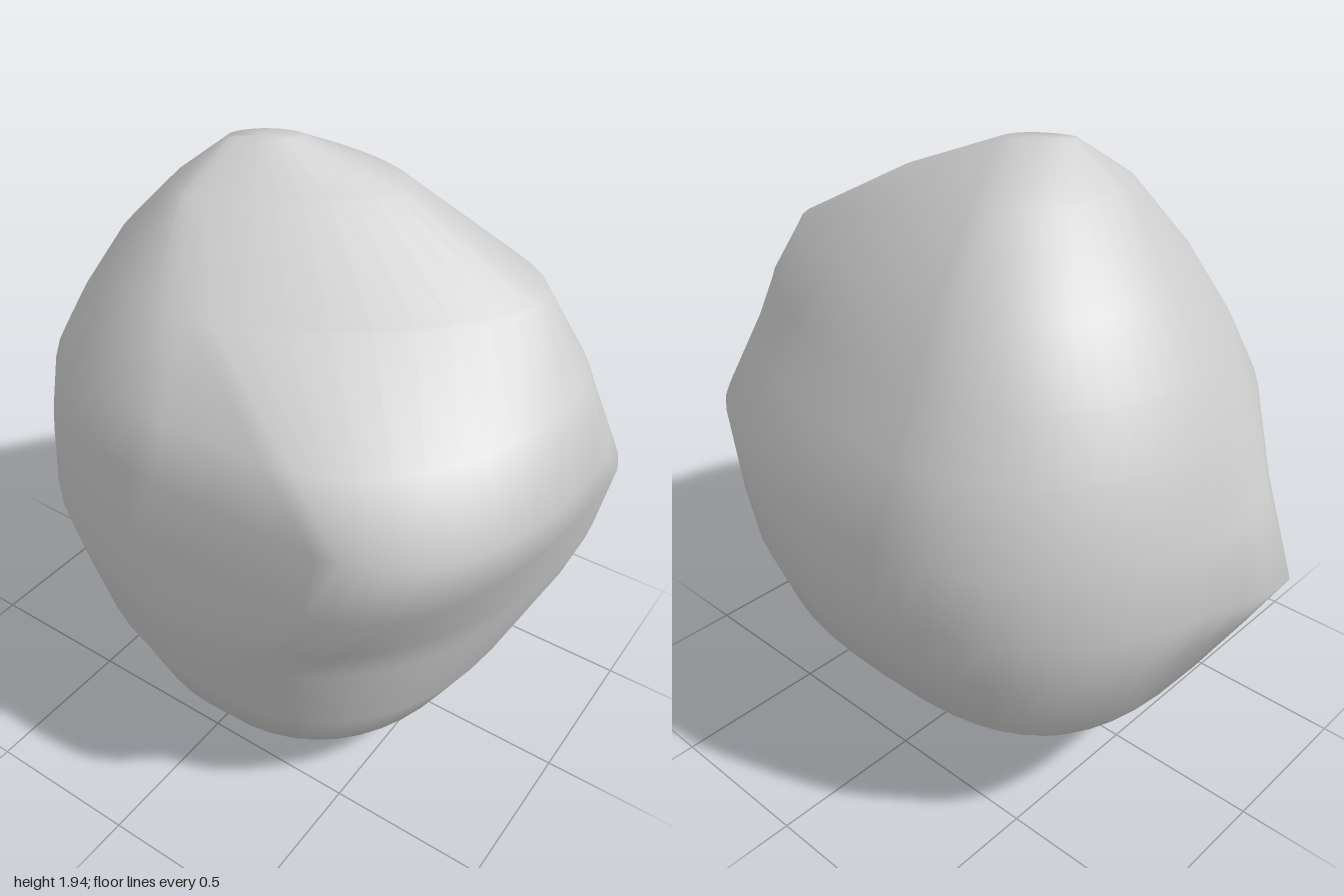
import * as THREE from 'three';

// Horizontal slices of the boulder, bottom to top:
// height, then the [x, z] points reaching furthest to -x, +x, +z and -z, then the
// roundness of the corners front -x, front +x, back +x (below 1 full, 2 straight).
const SLICES = [
  [0.00, -0.15, 0.10, 0.03, 0.05, -0.05, 0.18, -0.05, 0.00, 1.0, 1.0, 1.0],
  [0.08, -0.37, 0.08, 0.22, 0.05, -0.05, 0.51, 0.00, -0.27, 0.9, 0.85, 0.6],
  [0.23, -0.60, 0.13, 0.44, -0.02, 0.08, 0.66, 0.00, -0.57, 0.85, 0.8, 0.55],
  [0.43, -0.68, 0.13, 0.65, -0.08, 0.10, 0.77, -0.02, -0.76, 0.82, 0.85, 0.65],
  [0.65, -0.74, 0.15, 0.75, -0.13, 0.17, 0.87, 0.02, -0.85, 1.0, 0.95, 0.85],
  [0.80, -0.78, 0.25, 0.765, -0.20, 0.20, 0.92, 0.05, -0.90, 1.0, 0.95, 1.0],
  [1.02, -0.77, 0.45, 0.775, -0.22, 0.22, 0.96, 0.02, -0.87, 0.85, 0.97, 1.0],
  [1.24, -0.76, 0.48, 0.68, -0.22, -0.05, 1.00, -0.03, -0.79, 0.86, 1.0, 0.95],
  [1.40, -0.70, 0.28, 0.59, -0.20, 0.07, 0.89, -0.02, -0.70, 0.97, 1.05, 1.0],
  [1.60, -0.52, -0.08, 0.48, -0.18, 0.13, 0.72, 0.00, -0.57, 1.3, 1.05, 1.0],
  [1.82, -0.28, -0.20, 0.27, -0.12, 0.10, 0.30, -0.10, -0.33, 1.5, 1.0, 1.0],
  [1.94, -0.11, -0.16, 0.03, -0.03, 0.01, 0.00, -0.09, -0.18, 1.2, 1.0, 1.2],
];
const STEPS = 12;
const SPUR = new THREE.Vector3(-0.14, 0.8, -0.89);

// One closed outline: four rounded quarters joining the extreme points
function outline([y, lx, lz, rx, rz, fx, fz, bx, bz, frontMinus, frontPlus, backPlus]) {
  const L = [lx, lz], R = [rx, rz], F = [fx, fz], B = [bx, bz];
  // The -x wall runs straight back before it turns the rear corner
  const wallEnd = [lx, Math.min(lz, 0.05)];
  const quarters = [
    [R, F, [fx, rz], frontPlus], [F, L, [fx, lz], frontMinus],
    [wallEnd, B, [bx, wallEnd[1]], 1.08], [B, R, [bx, rz], backPlus],
  ];
  const points = [];
  for (const [p, q, o, e] of quarters) {
    for (let i = 0; i < STEPS; i++) {
      const t = (i / STEPS) * Math.PI / 2;
      const c = Math.cos(t) ** e, s = Math.sin(t) ** e;
      const point = new THREE.Vector3(
        o[0] + (p[0] - o[0]) * c + (q[0] - o[0]) * s, y,
        o[1] + (p[1] - o[1]) * c + (q[1] - o[1]) * s,
      );
      // Pull the pointed spur out of the back
      point.z -= 0.12 * Math.max(0, 1 - point.distanceTo(SPUR) / 0.3);
      points.push(point.toArray());
    }
  }
  return points;
}

function boulderGeometry() {
  const rings = SLICES.map(outline);
  const n = STEPS * 4, last = rings.length - 1;
  const positions = rings.flat(2), index = [];
  // Skin between neighbouring slices
  for (let i = 0; i < last; i++) {
    for (let j = 0; j < n; j++) {
      const k = (j + 1) % n;
      const a = i * n + j, b = i * n + k, c = a + n, d = b + n;
      index.push(a, c, b, b, c, d);
    }
  }
  // Close the underside and the summit
  for (const [ring, top] of [[0, false], [last, true]]) {
    const centre = positions.length / 3;
    const mid = [0, 1, 2].map((axis) => rings[ring].reduce((sum, p) => sum + p[axis], 0) / n);
    positions.push(...mid);
    for (let j = 0; j < n; j++) {
      const a = ring * n + j, b = ring * n + (j + 1) % n;
      if (top) index.push(centre, b, a);
      else index.push(centre, a, b);
    }
  }
  const geometry = new THREE.BufferGeometry();
  geometry.setAttribute('position', new THREE.Float32BufferAttribute(positions, 3));
  geometry.setIndex(index);
  geometry.computeVertexNormals();
  return geometry;
}

export function createModel() {
  const group = new THREE.Group();
  group.name = 'rock';
  const boulder = new THREE.Mesh(boulderGeometry(), new THREE.MeshStandardMaterial({ color: 0xcccccc }));
  boulder.name = 'boulder';
  group.add(boulder);
  return group;
}
